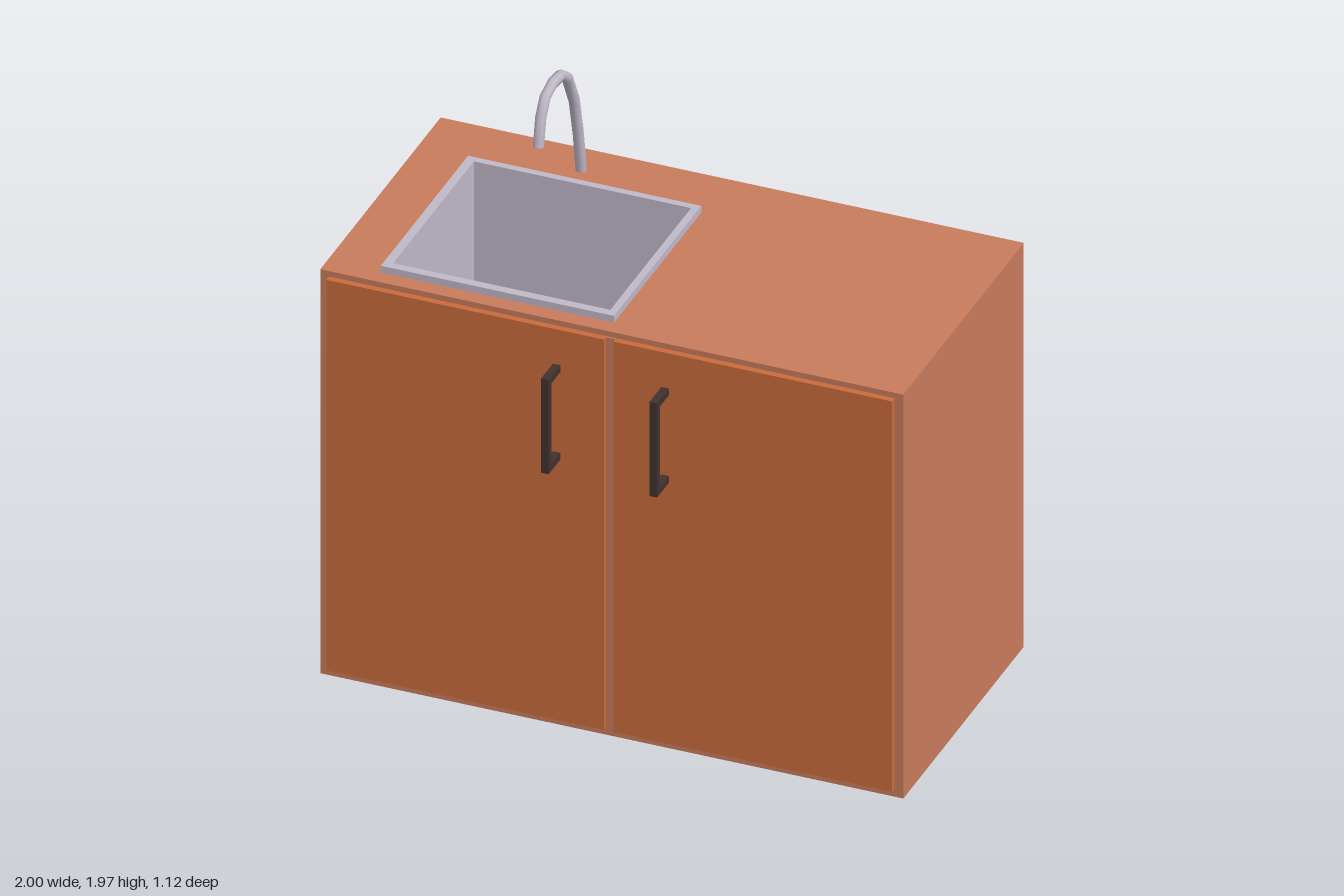
import * as THREE from 'three';

const mat = (color) => new THREE.MeshStandardMaterial({ color });

function add(parent, name, geometry, material, x = 0, y = 0, z = 0) {
  const mesh = new THREE.Mesh(geometry, material);
  mesh.name = name;
  mesh.position.set(x, y, z);
  parent.add(mesh);
  return mesh;
}

// Box given by its two extreme corners
function addBox(parent, name, material, [x0, y0, z0], [x1, y1, z1]) {
  return add(parent, name, new THREE.BoxGeometry(x1 - x0, y1 - y0, z1 - z0), material,
    (x0 + x1) / 2, (y0 + y1) / 2, (z0 + z1) / 2);
}

// Horizontal rectangle points; shape y becomes -z once laid flat
const rect = (x0, x1, z0, z1) =>
  [[x0, -z1], [x1, -z1], [x1, -z0], [x0, -z0]].map(([x, y]) => new THREE.Vector2(x, y));

function frameShape(outer, inner) {
  const shape = new THREE.Shape(outer);
  shape.holes.push(new THREE.Path(inner));
  return shape;
}

export function createModel() {
  const model = new THREE.Group();
  model.name = 'sinkCabinet';
  const wood = mat(0xc97c5d), doorWood = mat(0xca6c3c);
  const steel = mat(0xc0b9c8), dark = mat(0x40322f);

  const H = 1.5, BACK = -0.56, FRONT = 0.44;
  const rimOuter = rect(-0.815, -0.015, -0.34, 0.385);
  const rimInner = rect(-0.785, -0.04, -0.315, 0.355);

  // Cabinet body: a box without its top face, closed by a worktop with a sink opening
  const body = new THREE.BoxGeometry(2, H, FRONT - BACK);
  const index = Array.from(body.index.array);
  index.splice(12, 6);
  body.setIndex(index);
  body.clearGroups();
  add(model, 'cabinetBody', body, wood, 0, H / 2, (FRONT + BACK) / 2);
  const top = new THREE.ShapeGeometry(frameShape(rect(-1, 1, BACK, FRONT), rimOuter));
  add(model, 'worktop', top.rotateX(-Math.PI / 2), wood, 0, H, 0);
  addBox(model, 'centreStrip', wood, [-0.02, 0.03, FRONT - 0.01], [0.015, 1.48, 0.446]);

  // Sink: deep walls with a raised rim, and a floor
  const floorY = 1.0;
  const walls = new THREE.ExtrudeGeometry(frameShape(rimOuter, rimInner),
    { depth: 1.525 - floorY, bevelEnabled: false });
  add(model, 'sinkWalls', walls.rotateX(-Math.PI / 2), steel, 0, floorY, 0);
  addBox(model, 'sinkFloor', steel, [-0.8, floorY - 0.02, -0.33], [-0.03, floorY + 0.01, 0.37]);

  // Doors and their bar handles
  for (const [side, x0, x1, hx] of [['right', -0.97, -0.018, -0.18], ['left', 0.015, 0.97, 0.192]]) {
    addBox(model, side + 'Door', doorWood, [x0, 0.03, FRONT - 0.01], [x1, 1.48, 0.462]);
    const handle = new THREE.Group();
    handle.name = side + 'Handle';
    const a = hx - 0.013, b = hx + 0.013;
    addBox(handle, 'grip', dark, [a, 1.0, 0.535], [b, 1.35, 0.56]);
    for (const y of [1.0, 1.325]) addBox(handle, 'post', dark, [a, y, 0.455], [b, y + 0.025, 0.537]);
    model.add(handle);
  }

  // Faucet: a coarse swan-neck tube, one ring per path point
  const path = [[1.48, -0.44], [1.65, -0.412], [1.79, -0.379], [1.905, -0.322], [1.947, -0.265],
    [1.955, -0.197], [1.938, -0.137], [1.88, -0.1], [1.786, -0.082]]
    .map(([y, z]) => new THREE.Vector3(-0.467, y, z));
  const curve = new THREE.CatmullRomCurve3(path);
  curve.getPointAt = curve.getPoint;
  curve.getTangentAt = curve.getTangent;
  const radius = 0.019;
  add(model, 'faucet', new THREE.TubeGeometry(curve, path.length - 1, radius, 8), steel);
  const tip = add(model, 'faucetTip', new THREE.CircleGeometry(radius, 8), steel);
  const end = path[path.length - 1];
  tip.position.copy(end);
  tip.lookAt(end.clone().add(curve.getTangent(1)));

  return model;
}
